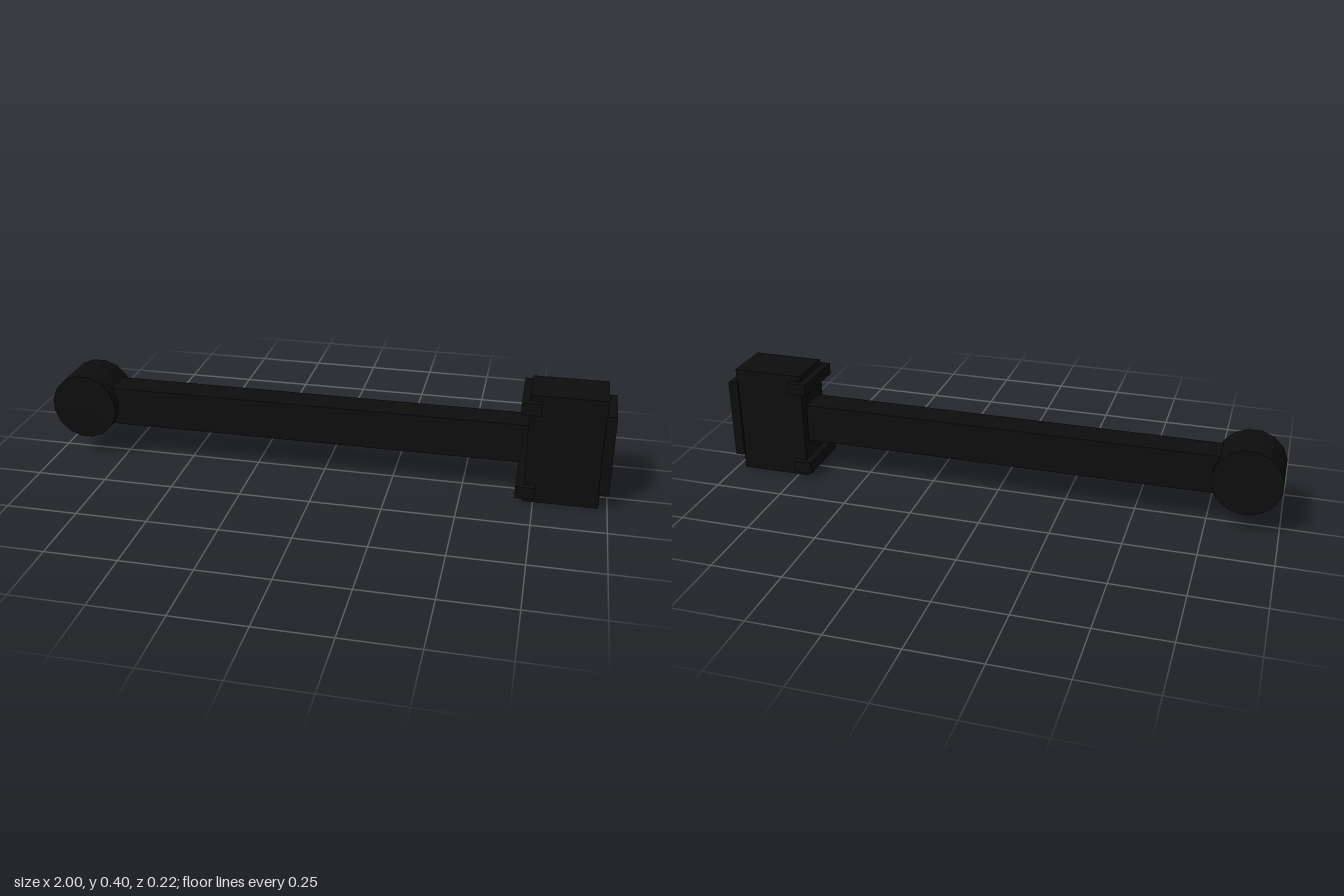
import * as THREE from 'three';

export function createModel() {
  const group = new THREE.Group();
  const black = new THREE.MeshStandardMaterial({ color: 0x0d0d0d, flatShading: true });
  black.name = 'black';

  // Box given by its extents in x and y and its half depth in z
  const addBox = (name, x0, x1, y0, y1, halfZ) => {
    const mesh = new THREE.Mesh(new THREE.BoxGeometry(x1 - x0, y1 - y0, halfZ * 2), black);
    mesh.position.set((x0 + x1) / 2, (y0 + y1) / 2, 0);
    mesh.name = name;
    group.add(mesh);
  };

  // Round end boss, axis along z
  const bossGeometry = new THREE.CylinderGeometry(0.12, 0.12, 0.172, 16);
  bossGeometry.rotateY(Math.PI / 16).rotateX(Math.PI / 2);
  const boss = new THREE.Mesh(bossGeometry, black);
  boss.position.set(-0.88, 0.2, 0);
  boss.name = 'endBoss';
  group.add(boss);

  // Long shaft running into the head
  addBox('shaft', -0.88, 0.73, 0.13, 0.27, 0.053);

  // Head block with its striking plate
  addBox('head', 0.715, 0.97, 0, 0.397, 0.087);
  addBox('facePlate', 0.965, 1, 0.054, 0.346, 0.095);

  // Cross bars above and below the shaft
  addBox('lowerCrossBar', 0.688, 0.755, 0.022, 0.065, 0.112);
  addBox('upperCrossBar', 0.688, 0.755, 0.333, 0.376, 0.112);

  return group;
}
